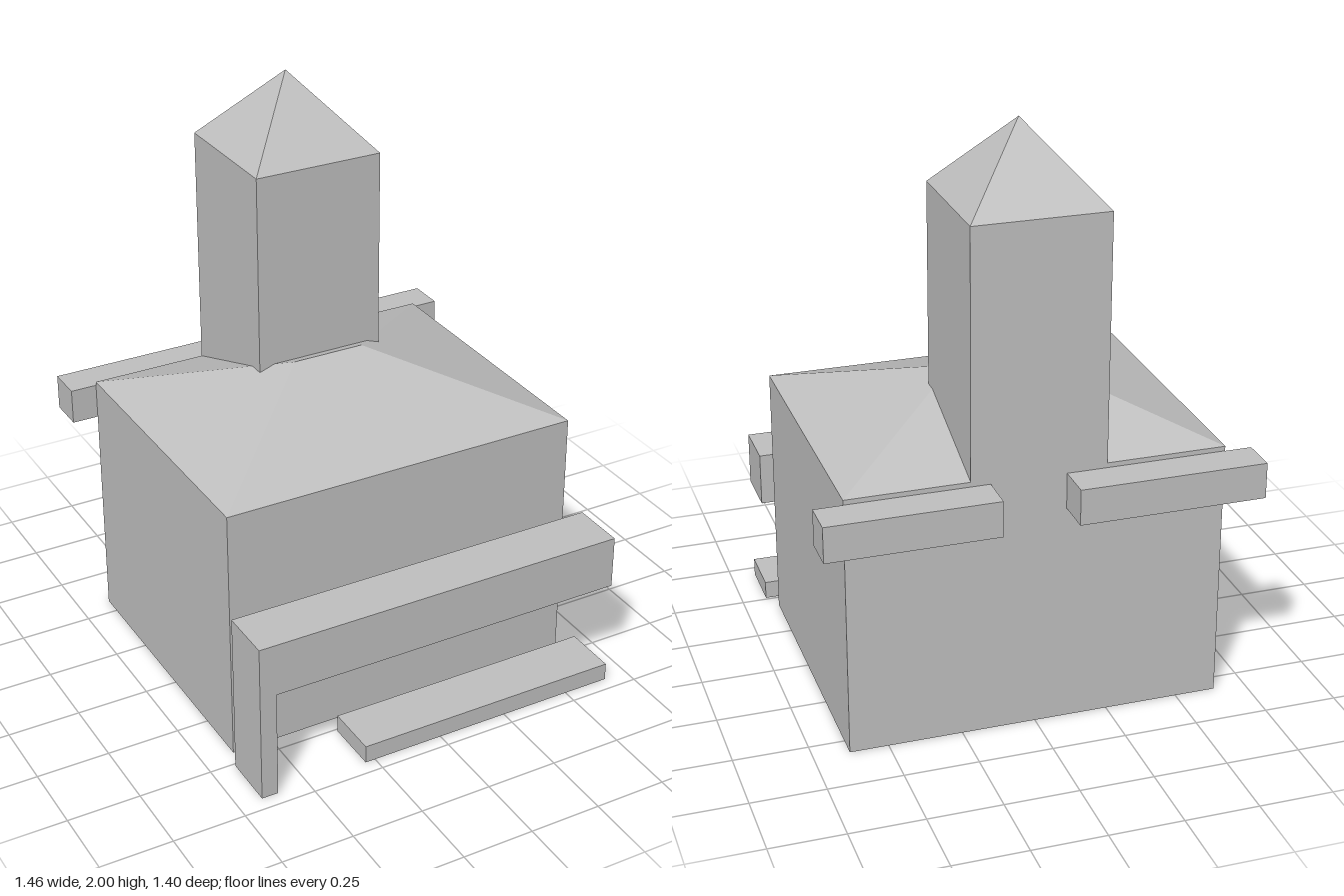
import * as THREE from 'three';

const stone = new THREE.MeshStandardMaterial({ color: 0xc0c0c0, side: THREE.DoubleSide });
stone.name = 'paleGrey';

// Box shell between two corners, leaving out the listed sides
const SIDES = ['right', 'left', 'top', 'bottom', 'front', 'back'];
function shell(name, [x0, x1], [y0, y1], [z0, z1], open = ['bottom']) {
  const geo = new THREE.BoxGeometry(x1 - x0, y1 - y0, z1 - z0);
  const all = Array.from(geo.index.array);
  geo.setIndex(all.filter((_, i) => !open.includes(SIDES[Math.floor(i / 6)])));
  geo.clearGroups();
  geo.translate((x0 + x1) / 2, (y0 + y1) / 2, (z0 + z1) / 2);
  const mesh = new THREE.Mesh(geo, stone);
  mesh.name = name;
  return mesh;
}

// Hipped roof over a rectangle; a ridge of zero length makes a pyramid
function hipRoof(name, [x0, x1], [z0, z1], eave, [r0, r1], ridgeZ, top) {
  const a = [x0, eave, z1], b = [x1, eave, z1], c = [x1, eave, z0], d = [x0, eave, z0];
  const l = [r0, top, ridgeZ], r = [r1, top, ridgeZ];
  const tris = [a, b, r, b, c, r, c, d, l, d, a, l];
  if (r1 > r0) tris.push(a, r, l, c, l, r);
  const geo = new THREE.BufferGeometry();
  geo.setAttribute('position', new THREE.Float32BufferAttribute(tris.flat(), 3));
  geo.computeVertexNormals();
  const mesh = new THREE.Mesh(geo, stone);
  mesh.name = name;
  return mesh;
}

export function createModel() {
  const model = new THREE.Group();
  model.name = 'towerBuilding';

  // Main hall
  const hallX = [-0.64, 0.63], hallZ = [-0.57, 0.445];
  model.add(
    shell('hallWalls', hallX, [0, 0.905], hallZ, ['top', 'bottom']),
    hipRoof('hallRoof', hallX, hallZ, 0.905, [-0.13, 0.125], -0.065, 1.085),
  );

  // Tower, its back flush with the hall
  const towerX = [-0.235, 0.22], towerZ = [-0.57, -0.115];
  model.add(
    shell('towerWalls', towerX, [0.905, 1.745], towerZ, ['top', 'bottom']),
    hipRoof('towerRoof', towerX, towerZ, 1.745, [-0.007, -0.007], -0.343, 2),
  );

  // Front lintel on a single post, with a low step below
  const porchZ = [0.51, 0.7];
  model.add(
    shell('frontLintel', [-0.665, 0.663], [0.385, 0.572], porchZ),
    shell('frontPost', [-0.665, -0.607], [0, 0.385], porchZ, ['top', 'bottom']),
    shell('frontStep', [-0.285, 0.663], [0, 0.063], porchZ),
  );

  // Two ledges along the back wall
  for (const [name, x] of [['backLedgeRight', [-0.73, -0.098]], ['backLedgeLeft', [0.155, 0.727]]]) {
    model.add(shell(name, x, [0.767, 0.89], [-0.7, -0.573]));
  }
  return model;
}
